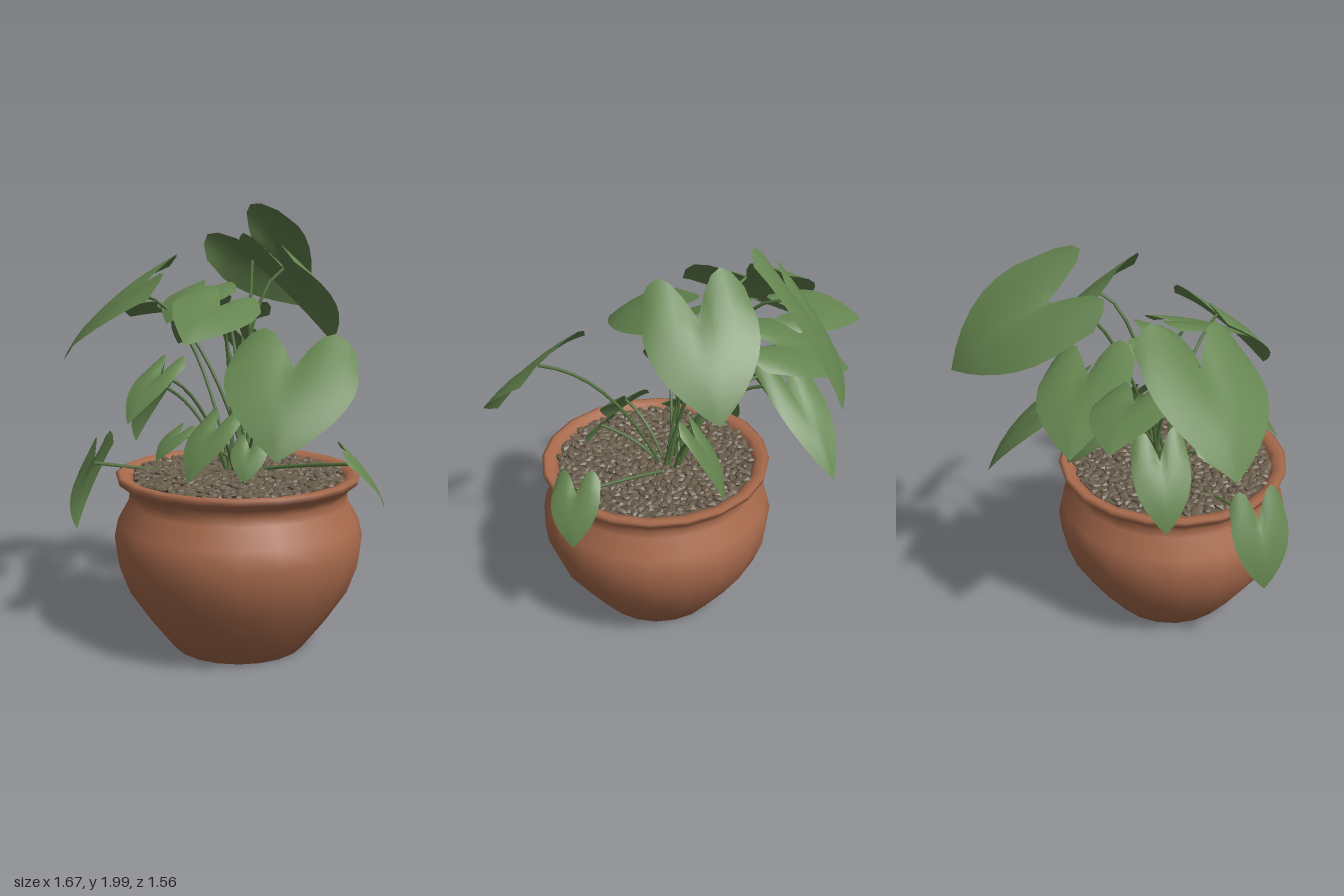
import * as THREE from 'three';
import { mergeGeometries, mergeVertices } from 'three/addons/utils/BufferGeometryUtils.js';

const material = (name, color, side = THREE.FrontSide) => {
  const m = new THREE.MeshStandardMaterial({ color, side });
  m.name = name;
  return m;
};

const POT_X = 0.11, POT_Z = 0.22;

// Leaves: stalk joint, tip, half width and, where the blade leans, its roll
const LEAVES = [
  [[-0.21, 1.78, -0.36], [-0.16, 1.46, -0.78], 0.23, -0.78],
  [[0.11, 1.69, -0.14], [0.2, 1.33, -0.43], 0.25, 0.14],
  [[-0.27, 1.47, -0.2], [-0.64, 1.28, -0.29], 0.21, 0.23],
  [[-0.25, 1.33, -0.32], [-0.26, 1, -0.65], 0.13],
  [[-0.55, 1.49, -0.02], [-0.83, 1.42, -0.14], 0.17, 0.18],
  [[-0.45, 1.58, 0.26], [-0.81, 1.25, 0.37], 0.3, -0.3],
  [[-0.47, 0.82, 0.54], [-0.56, 0.5, 0.57], 0.14],
  [[0.63, 0.87, 0.08], [0.72, 0.67, -0.03], 0.12, 0.25],
  [[0.57, 1.33, 0.48], [0.67, 1, 0.75], 0.27, -0.1],
  [[-0.44, 1.13, 0.1], [-0.58, 0.84, 0.12], 0.13],
  [[0.11, 1.06, -0.13], [0.07, 0.81, -0.29], 0.12, -0.5],
  [[0.14, 1.02, 0.43], [0.13, 0.82, 0.61], 0.11],
  [[0.04, 1.54, 0.26], [0.11, 1.4, 0.6], 0.18, -0.29],
  [[-0.19, 1.58, 0.09], [-0.23, 1.45, 0.3], 0.18],
  [[-0.14, 1.24, 0.46], [-0.15, 1.05, 0.67], 0.1],
  [[-0.12, 0.96, 0.36], [-0.16, 0.85, 0.47], 0.08],
  [[0.3, 0.95, 0.4], [0.33, 0.82, 0.48], 0.08],
];

// Heart-shaped blade: a grid whose first row sweeps back into two lobes
function leafGeometry(joint, tip, halfWidth, roll) {
  const along = tip.clone().sub(joint);
  const axis = along.clone().normalize();
  const across = new THREE.Vector3(along.z, 0, -along.x).normalize().applyAxisAngle(axis, roll);
  const normal = axis.clone().cross(across);
  const rows = 8, cols = 10, pos = [], index = [];
  for (let r = 0; r <= rows; r++) {
    const t = r / rows;
    const width = t < 0.25 ? 0.92 + 0.32 * t
      : Math.pow(Math.cos((t - 0.25) / 0.75 * Math.PI / 2), 0.95);
    for (let c = 0; c <= cols; c++) {
      const v = c / cols * 2 - 1;
      const lobe = 0.44 * Math.sin(Math.abs(v) * Math.PI * 0.82) * (1 - t) ** 2;
      const lift = along.length() * 0.4 * t * (1 - t) - halfWidth * 0.14 * v * v * (1 - t);
      const p = joint.clone().addScaledVector(along, t - lobe)
        .addScaledVector(across, v * width * halfWidth)
        .addScaledVector(normal, lift);
      pos.push(p.x, p.y, p.z);
      if (r < rows && c < cols) {
        const a = r * (cols + 1) + c, b = a + cols + 1;
        index.push(a, b, a + 1, a + 1, b, b + 1);
      }
    }
  }
  const g = new THREE.BufferGeometry();
  g.setAttribute('position', new THREE.Float32BufferAttribute(pos, 3));
  g.setIndex(index);
  const welded = mergeVertices(g, 1e-5);
  welded.computeVertexNormals();
  return welded;
}

// Arching stalk from the middle of the soil to the leaf joint
function stemGeometry(joint, i) {
  const a = i * 2.4;
  const base = new THREE.Vector3(0.06 + 0.05 * Math.cos(a), 0.76, 0.15 + 0.05 * Math.sin(a));
  const bend = base.clone().lerp(joint, 0.4);
  bend.y = joint.y - 0.04;
  const curve = new THREE.QuadraticBezierCurve3(base, bend, joint);
  return new THREE.TubeGeometry(curve, 10, 0.008, 5);
}

// Flattened faceted stones spread over the soil
function pebbleGeometry() {
  let seed = 7;
  const rand = () => (seed = (seed * 16807) % 2147483647) / 2147483647;
  const stones = [], count = 430;
  for (let i = 0; i < count; i++) {
    const r = 0.465 * Math.sqrt((i + 0.5) / count), a = i * 2.39996;
    const g = new THREE.IcosahedronGeometry(1, 0);
    const s = 0.8 + 0.4 * rand();
    g.scale(0.037 * s, 0.016, 0.021 * s);
    g.rotateZ((rand() - 0.5) * 0.7);
    g.rotateY(rand() * Math.PI * 2);
    g.translate(POT_X + r * Math.cos(a), 0.777 + 0.01 * rand(), POT_Z + r * Math.sin(a));
    stones.push(g);
  }
  return mergeGeometries(stones);
}

export function createModel() {
  const terracotta = material('terracotta', 0xa96b4d);
  const stone = material('pebble brown', 0x685c4b);
  const leafGreen = material('leaf green', 0x64844f, THREE.DoubleSide);
  const stemGreen = material('stem green', 0x54733f);

  const model = new THREE.Group();
  model.name = 'pottedPlant';
  const add = (name, geometry, mat, parent = model) => {
    const mesh = new THREE.Mesh(geometry, mat);
    mesh.name = name;
    parent.add(mesh);
    return mesh;
  };

  // Pot with flared rim, running down inside to below the soil
  const profile = [[0, 0], [0.3, 0], [0.41, 0.14], [0.505, 0.28], [0.55, 0.4], [0.562, 0.5],
    [0.545, 0.58], [0.495, 0.67], [0.49, 0.71], [0.505, 0.74], [0.545, 0.77], [0.552, 0.795],
    [0.535, 0.802], [0.5, 0.795], [0.475, 0.77], [0.47, 0.72]].map(([x, y]) => new THREE.Vector2(x, y));
  const pot = add('pot', new THREE.LatheGeometry(profile, 20), terracotta);
  pot.position.set(POT_X, 0, POT_Z);

  // Soil bed and pebbles
  const soil = add('soil', new THREE.CylinderGeometry(0.475, 0.475, 0.03, 20), stone);
  soil.position.set(POT_X, 0.76, POT_Z);
  add('pebbles', pebbleGeometry(), stone);

  // Foliage
  const foliage = new THREE.Group();
  foliage.name = 'foliage';
  model.add(foliage);
  LEAVES.forEach(([from, to, halfWidth, roll = 0], i) => {
    const joint = new THREE.Vector3(...from), tip = new THREE.Vector3(...to);
    add(`leaf${i + 1}`, leafGeometry(joint, tip, halfWidth, roll), leafGreen, foliage);
    add(`stem${i + 1}`, stemGeometry(joint, i), stemGreen, foliage);
  });
  return model;
}
